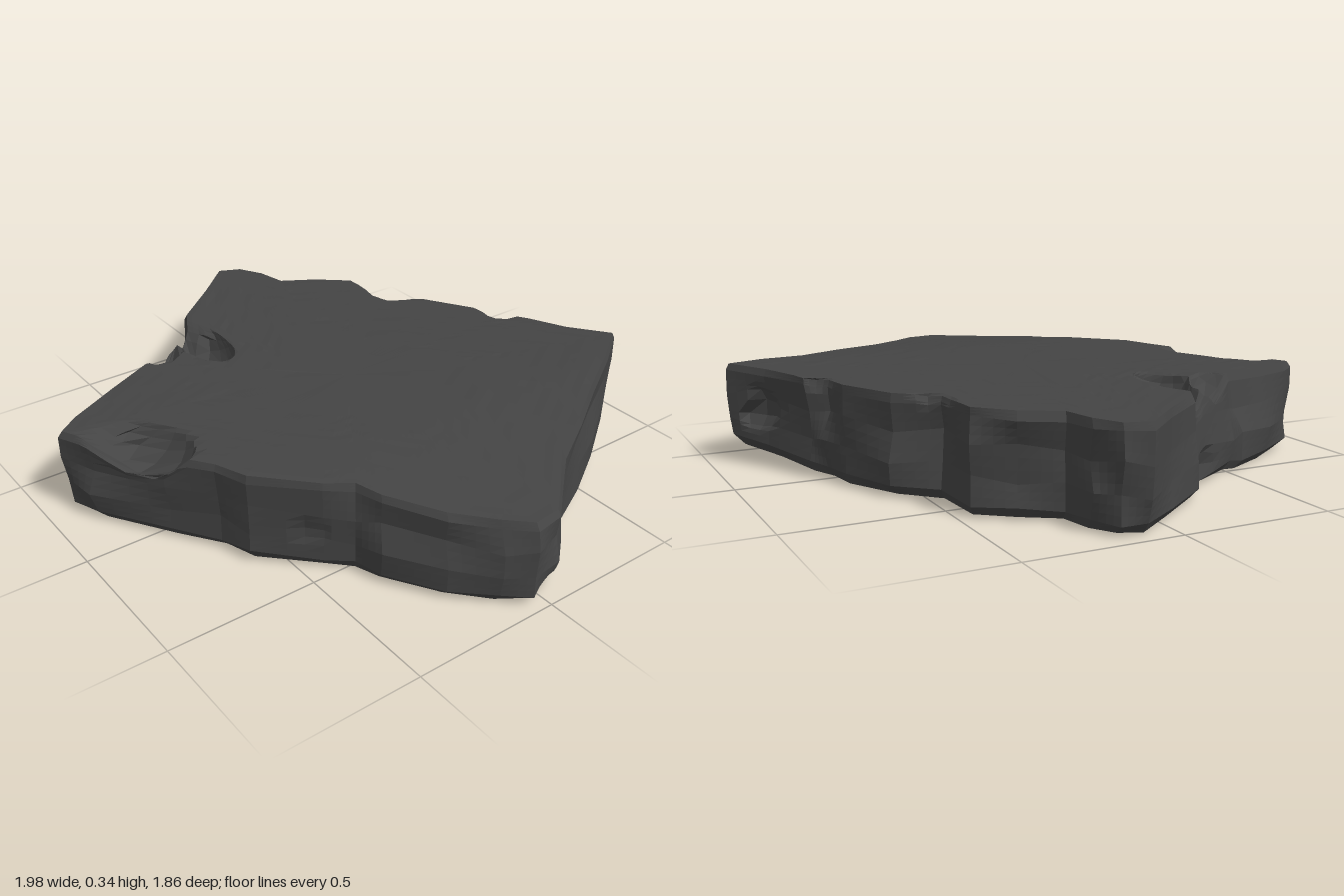
import * as THREE from 'three';

// Slab outline seen from above, clockwise from the back corner: [x, z, inset of the top edge]
const outline = [
  [0.35, -0.94, 0], [0.45, -0.82, 0.02], [0.56, -0.65, 0.03], [0.68, -0.46, 0.03],
  [0.78, -0.28, 0.03], [0.9, -0.14, 0.02], [0.98, -0.05, 0.02], [1, 0.05, 0.03],
  [0.94, 0.13, 0.04], [0.82, 0.24, 0.04], [0.64, 0.35, 0.03], [0.55, 0.38, 0.03],
  [0.48, 0.45, 0], [0.31, 0.61, 0], [0.2, 0.65, 0], [0.05, 0.75, 0.01],
  [-0.18, 0.9, 0.02], [-0.28, 0.93, 0], [-0.34, 0.89, 0.03], [-0.44, 0.74, 0.07],
  [-0.53, 0.57, 0.09], [-0.52, 0.53, 0.06], [-0.62, 0.35, 0.05], [-0.69, 0.27, 0.06],
  [-0.77, 0.22, 0.05], [-0.9, 0.04, 0.03], [-1, -0.1, 0], [-0.98, -0.18, 0.01],
  [-0.9, -0.23, 0.02], [-0.78, -0.25, 0.01], [-0.71, -0.37, 0.01], [-0.62, -0.48, 0.02],
  [-0.42, -0.49, 0.03], [-0.31, -0.61, 0.02], [-0.13, -0.71, 0.02], [-0.02, -0.73, 0.03],
  [0.03, -0.78, 0.01], [0.21, -0.85, 0],
];

// Ellipsoid scoops knocked out of the slab: centre, radii, heading of the long axis [x, z]
const scoops = [
  { c: [-0.06, 0.4, 0.77], r: [0.22, 0.2, 0.13], d: [0.83, -0.55] }, // front chip
  { c: [-0.54, 0.37, 0.28], r: [0.22, 0.16, 0.09], d: [0.99, -0.12] }, // side notch
  { c: [-0.53, 0.36, 0.42], r: [0.11, 0.12, 0.08], d: [0.5, 0.87] },
  { c: [-0.66, 0.06, 0.36], r: [0.1, 0.09, 0.08], d: [0.5, 0.87] },
  { c: [0.77, 0.31, -0.41], r: [0.14, 0.14, 0.07], d: [0.52, 0.85] }, // right edge chip
  { c: [0.5, 0.13, 0.53], r: [0.15, 0.11, 0.1], d: [0.75, -0.66] }, // front dent
  { c: [0.99, 0, -0.02], r: [0.12, 0.08, 0.06], d: [0.5, 0.87] },
  { c: [-0.05, 0.36, -0.76], r: [0.09, 0.12, 0.08], d: [1, 0] }, // back chips
  { c: [-0.45, 0.36, -0.52], r: [0.12, 0.1, 0.07], d: [1, 0] },
  { c: [0.22, 0.2, -0.9], r: [0.14, 0.09, 0.09], d: [0.9, -0.4] },
];

let seed = 11;
const rand = () => (seed = (seed * 16807) % 2147483647) / 2147483647;
const ramp = (v, a, b) => THREE.MathUtils.smoothstep(v, a, b);

const topHeight = (x, z) =>
  0.325 - 0.035 * ramp(x, 0.35, 1) + 0.015 * ramp(-z, 0.6, 0.94) - 0.022 * ramp(z, 0.5, 0.93);
const bottomLift = (z) => 0.07 * THREE.MathUtils.clamp((-z - 0.65) / 0.28, 0, 1);

// One ring of the slab: scale of the outline, height fraction, share of top inset, roughness
function ring([scale, h, inset, rough]) {
  return outline.map(([x, z, topInset], i) => {
    const rugged = i > 27 ? 1.8 : 1;
    const k = scale - topInset * inset - rand() * rough * rugged;
    const px = x * k, pz = z * k;
    const low = 0.005 + bottomLift(pz);
    const jitter = (rand() - 0.5) * rough * 0.8;
    return new THREE.Vector3(px, THREE.MathUtils.lerp(low, topHeight(px, pz), h) + jitter, pz);
  });
}

// Straight subdivision keeps the broad broken facets
const subdivide = (points, n, closed) => {
  const out = [];
  const last = closed ? points.length : points.length - 1;
  for (let i = 0; i < last; i++)
    for (let s = 0; s < n; s++)
      out.push(points[i].clone().lerp(points[(i + 1) % points.length], s / n));
  if (!closed) out.push(points[last].clone());
  return out;
};

// Push a point that lies inside a scoop out to the scoop's surface
function carve(p) {
  for (const { c, r, d } of scoops) {
    const len = Math.hypot(d[0], d[1]), ux = d[0] / len, uz = d[1] / len;
    const dx = p.x - c[0], dy = p.y - c[1], dz = p.z - c[2];
    const a = (dx * ux + dz * uz) / r[0];
    const b = dy / r[1];
    const e = (dz * ux - dx * uz) / r[2];
    const q = Math.hypot(a, b, e);
    if (q >= 1 || q < 1e-4) continue;
    // only move inwards and down, never beyond the slab
    const nx = c[0] + dx / q, nz = c[2] + dz / q;
    if (Math.hypot(nx, nz) <= Math.hypot(p.x, p.z)) {
      p.x = nx;
      p.z = nz;
    }
    p.y = THREE.MathUtils.clamp(c[1] + dy / q, 0.005, p.y + 0.02);
  }
}

function slabGeometry() {
  const sideRings = [
    [0.94, 0, 0, 0.005], [0.985, 0.1, 0, 0.02], [1, 0.35, 0.1, 0.035],
    [1, 0.65, 0.5, 0.035], [1, 0.92, 0.9, 0.012], [0.985, 1, 1, 0.003],
  ].map(ring);
  const columns = outline.map((_, i) => subdivide(sideRings.map((r) => r[i]), 3, false));
  const rows = columns[0].map((_, j) => columns.map((col) => col[j]));
  for (let s = 0.95; s > 0.4; s -= 0.035) rows.push(ring([s, 1, 1, 0.003]));
  rows.push(ring([0.25, 1, 0.3, 0.003]));

  const loops = rows.map((row) => subdivide(row, 4, true));
  loops.forEach((loop) => loop.forEach(carve));
  const n = loops[0].length;
  // close the underside and the top at their centres
  loops.unshift(Array.from({ length: n }, () => new THREE.Vector3(0, 0, 0)));
  loops.push(Array.from({ length: n }, () => new THREE.Vector3(0, topHeight(0, 0), 0)));

  const positions = loops.flat().flatMap((p) => [p.x, p.y, p.z]);
  const index = [];
  for (let j = 0; j < loops.length - 1; j++)
    for (let i = 0; i < n; i++) {
      const a = j * n + i, b = j * n + ((i + 1) % n);
      if (j > 0) index.push(a, a + n, b);
      if (j < loops.length - 2) index.push(b, a + n, b + n);
      if (j === 0) continue;
    }
  const geometry = new THREE.BufferGeometry();
  geometry.setAttribute('position', new THREE.Float32BufferAttribute(positions, 3));
  geometry.setIndex(index);
  geometry.computeVertexNormals();
  return geometry;
}

export function createModel() {
  seed = 11;
  const group = new THREE.Group();
  group.name = 'brokenStoneSlab';
  const material = new THREE.MeshStandardMaterial({ color: 0x444444, flatShading: true });
  const slab = new THREE.Mesh(slabGeometry(), material);
  slab.name = 'slab';
  group.add(slab);
  return group;
}
